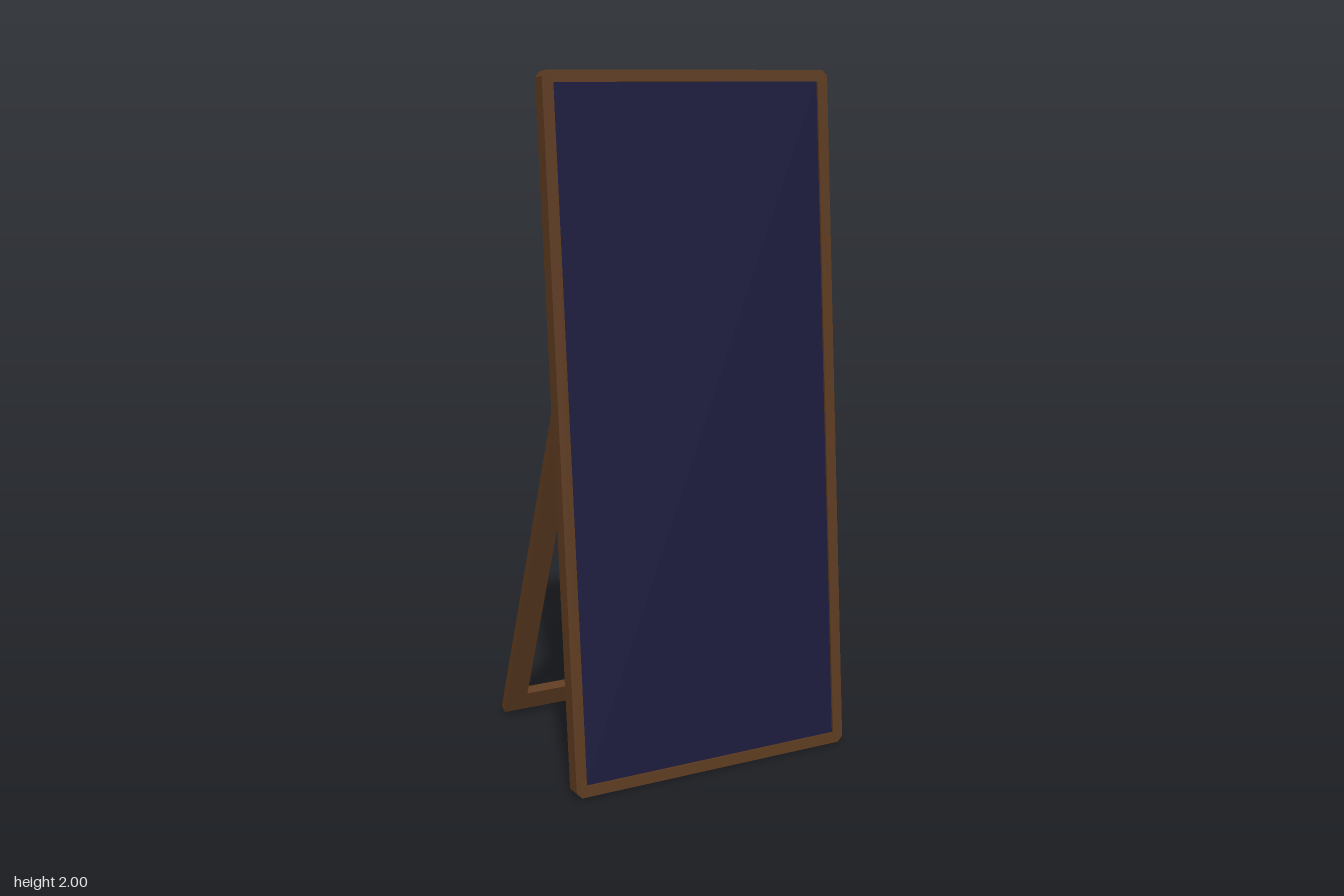
import * as THREE from 'three';

const wood = new THREE.MeshStandardMaterial({ color: 0x5c3a1f });
const glass = new THREE.MeshStandardMaterial({ color: 0x1a1a3c });
const rad = THREE.MathUtils.degToRad;

// Upright rectangle from y0 to y1 with optional cut corners
function panelShape(halfW, y0, y1, cut = 0) {
  const pts = cut
    ? [[-halfW + cut, y0], [halfW - cut, y0], [halfW, y0 + cut], [halfW, y1 - cut],
       [halfW - cut, y1], [-halfW + cut, y1], [-halfW, y1 - cut], [-halfW, y0 + cut]]
    : [[-halfW, y0], [halfW, y0], [halfW, y1], [-halfW, y1]];
  return new THREE.Shape(pts.map(([x, y]) => new THREE.Vector2(x, y)));
}

// Slab of a shape, optionally with an opening, starting at depth z
function slab(name, shape, opening, depth, z, material) {
  if (opening) shape.holes.push(opening);
  const geometry = new THREE.ExtrudeGeometry(shape, { depth, bevelEnabled: false });
  const mesh = new THREE.Mesh(geometry, material);
  mesh.name = name;
  mesh.position.z = z;
  return mesh;
}

export function createModel() {
  const model = new THREE.Group();
  model.name = 'standingMirror';

  // Leaning mirror: solid back, raised rim and recessed glass
  const width = 0.438, height = 2.003, cut = 0.016, rim = 0.032;
  const mirror = new THREE.Group();
  mirror.name = 'mirror';
  mirror.add(
    slab('backBoard', panelShape(width, 0, height, cut), null, 0.041, 0, wood),
    slab('frameRim', panelShape(width, 0, height, cut),
      panelShape(width - rim, rim, height - rim), 0.009, 0.041, wood),
    slab('mirrorGlass', panelShape(width - rim, rim, height - rim), null, 0.002, 0.041, glass)
  );
  mirror.position.z = 0.28;
  mirror.rotation.x = rad(-5);
  model.add(mirror);

  // Rear support: open rectangular frame meeting the back board
  const rail = 0.067, length = 1.252;
  const stand = slab('rearStand', panelShape(0.42, 0, length),
    panelShape(0.42 - rail, rail, length - rail), 0.03, 0, wood);
  stand.position.set(0, 0.027, -0.328);
  stand.rotation.x = rad(24);
  model.add(stand);

  return model;
}
